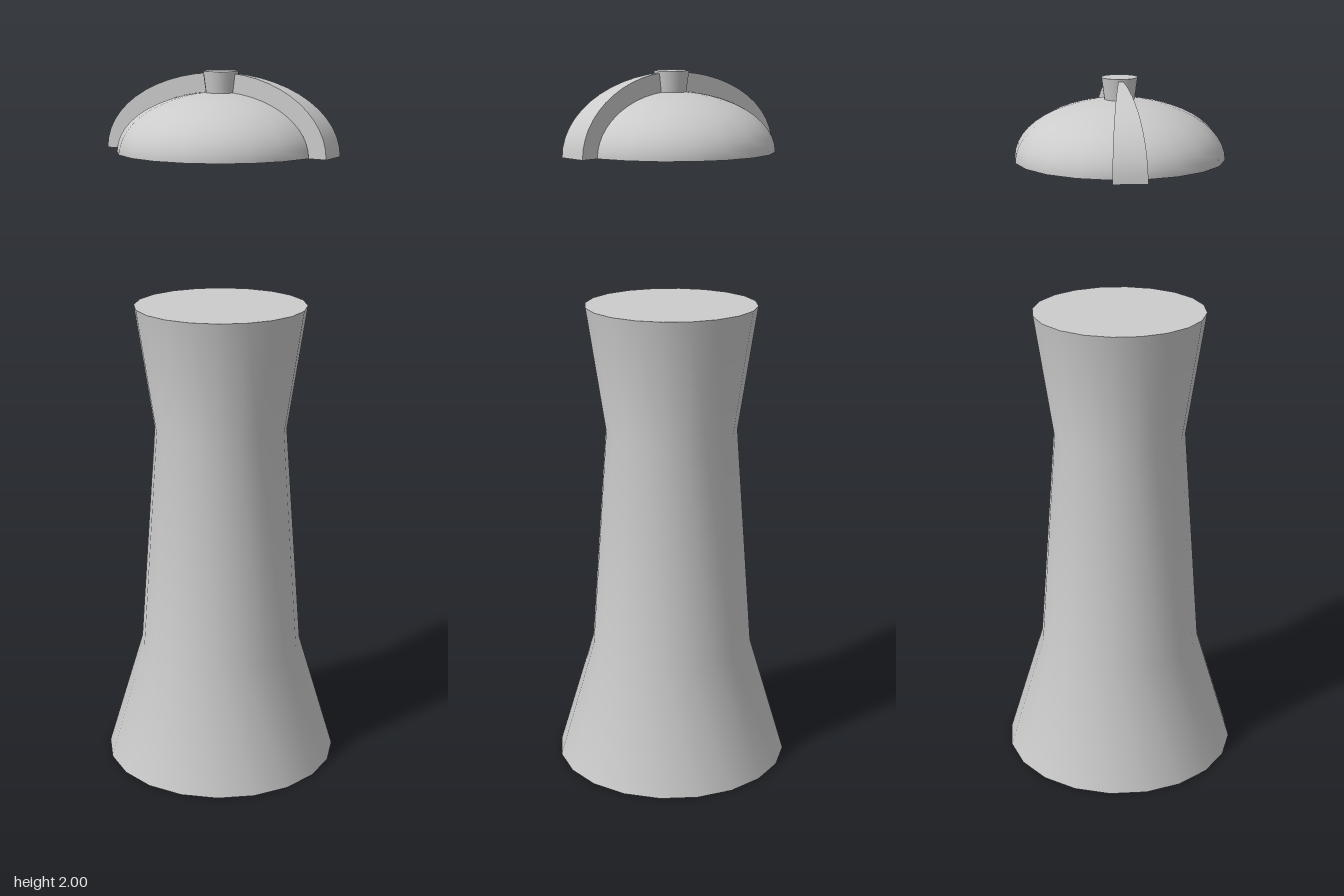
import * as THREE from 'three';
import { toCreasedNormals } from 'three/addons/utils/BufferGeometryUtils.js';

const SIDES = 20;
const RIM_Y = 1.785;

export function createModel() {
  const model = new THREE.Group();
  const mat = new THREE.MeshStandardMaterial({ color: 0xcccccc, side: THREE.DoubleSide });
  const add = (name, geometry, parent = model) => {
    const mesh = new THREE.Mesh(geometry, mat);
    mesh.name = name;
    parent.add(mesh);
    return mesh;
  };

  // Tapered hollow tower, open at the base
  const profile = [[0.338, 0], [0.235, 0.35], [0.19, 1.0], [0.245, 1.36]]
    .map(([r, y]) => new THREE.Vector2(r, y));
  add('tower', new THREE.LatheGeometry(profile, SIDES));
  add('towerTop', new THREE.CircleGeometry(0.245, SIDES).rotateX(-Math.PI / 2)).position.y = 1.36;

  // Floating cap: flattened dome with a flat underside and a small knob
  const cap = new THREE.Group();
  cap.name = 'cap';
  cap.position.y = RIM_Y;
  model.add(cap);
  const dome = new THREE.SphereGeometry(1, SIDES, 12, 0, Math.PI * 2, 0, Math.PI / 2);
  add('dome', dome.scale(0.283, 0.16, 0.283), cap);
  add('domeBase', new THREE.CircleGeometry(0.283, SIDES).rotateX(Math.PI / 2), cap);
  add('knob', new THREE.CylinderGeometry(0.048, 0.039, 0.065, SIDES), cap).position.y = 0.1825;

  // Two curved wedge ribs, half a turn apart
  for (let i = 0; i < 2; i++) {
    add('rib', ribGeometry(), cap).rotation.y = i * Math.PI;
  }
  return model;
}

// Arched band between two ellipses, extruded and then swept around the axis
function ribGeometry() {
  const steps = 12;
  const inner = 0.035;
  const arc = (rx, ry) => Array.from({ length: steps + 1 }, (_, i) => {
    const t = (i / steps) * Math.acos(inner / rx);
    return new THREE.Vector2(rx * Math.cos(t), ry * Math.sin(t));
  });
  const shape = new THREE.Shape([...arc(0.338, 0.211), ...arc(0.284, 0.16).reverse()]);
  const geo = new THREE.ExtrudeGeometry(shape, { depth: 1, bevelEnabled: false });
  const pos = geo.attributes.position;
  for (let i = 0; i < pos.count; i++) {
    const r = pos.getX(i);
    const a = THREE.MathUtils.degToRad(1.2 + 15.2 * pos.getZ(i));
    pos.setXYZ(i, r * Math.cos(a), pos.getY(i), r * Math.sin(a));
  }
  return toCreasedNormals(geo, 0.6);
}
